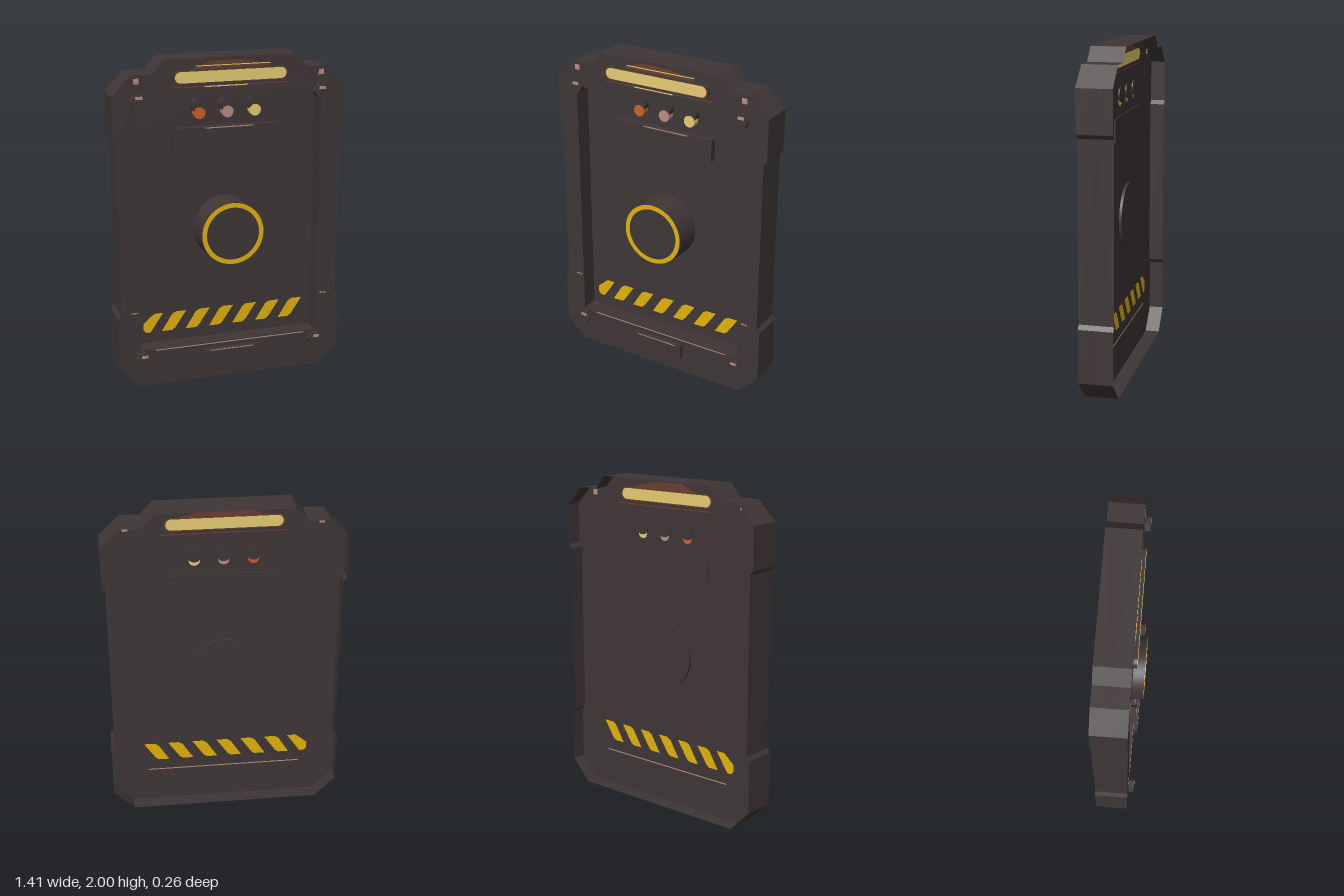
import * as THREE from 'three';

const mat = (name, color, side = THREE.FrontSide) => {
  const m = new THREE.MeshStandardMaterial({ color, side });
  m.name = name;
  return m;
};

export function createModel() {
  const M = {
    body: mat('dark metal', 0x3f3636, THREE.DoubleSide),
    yellow: mat('warning yellow', 0xe2b208),
    glow: mat('pale lamp yellow', 0xf0d478),
    orange: mat('orange', 0xcc6029),
    pink: mat('dusty pink', 0xb98d82),
    rust: mat('rust brown', 0x6a3f2e),
  };
  const group = new THREE.Group();
  // Depths: open rear rim, rear of panel, recess floor, front face
  const RIM = -0.132, BACK = -0.042, FLOOR = -0.036, FACE = 0.072, T = 0.002, CX = -0.005;

  const poly = (pts) => new THREE.Shape(pts.map(([x, y]) => new THREE.Vector2(x, y)));
  const rect = (x0, y0, x1, y1) => poly([[x0, y0], [x1, y0], [x1, y1], [x0, y1]]);
  const disc = (x, y, r) => new THREE.Shape().absarc(x, y, r, 0, Math.PI * 2);
  const capsule = (cx, cy, w, h) => {
    const s = new THREE.Shape(), d = w / 2 - h / 2;
    s.absarc(cx + d, cy, h / 2, -Math.PI / 2, Math.PI / 2);
    s.absarc(cx - d, cy, h / 2, Math.PI / 2, Math.PI * 1.5);
    return s;
  };
  const add = (name, geometry, material) => {
    const mesh = new THREE.Mesh(geometry, material);
    mesh.name = name;
    group.add(mesh);
    return mesh;
  };
  // Extrudes a shape between two depths
  const slab = (name, shape, z0, z1, material) => {
    const g = new THREE.ExtrudeGeometry(shape, { depth: z1 - z0, bevelEnabled: false, curveSegments: 24 });
    add(name, g.translate(0, 0, z0), material);
  };
  // Paints the same mark on a front surface and on the rear of the panel
  const paint = (name, shape, z, material) => {
    slab(name + 'Front', shape, z, z + T, material);
    slab(name + 'Back', shape, BACK - T, BACK, material);
  };

  // Body outline with corner guards and raised top tab
  const half = [[0.58, 0], [0.707, 0.13], [0.707, 0.45], [0.687, 0.475], [0.687, 1.53],
    [0.707, 1.555], [0.707, 1.805], [0.59, 1.92], [0.47, 1.92], [0.395, 2]];
  const outline = [...half, ...half.map(([x, y]) => [-x, y]).reverse()];
  slab('panel', poly(outline), BACK, FLOOR, M.body);
  const frame = poly(outline);
  frame.holes.push(rect(CX - 0.566, 0.235, CX + 0.566, 1.765));
  slab('frame', frame, FLOOR, FACE, M.body);

  // Thin rim around the hollow back
  const rim = [];
  outline.forEach((a, i) => {
    const b = outline[(i + 1) % outline.length];
    rim.push(...a, RIM, ...b, RIM, ...b, BACK, ...a, RIM, ...b, BACK, ...a, BACK);
  });
  const rimGeometry = new THREE.BufferGeometry();
  rimGeometry.setAttribute('position', new THREE.Float32BufferAttribute(rim, 3));
  rimGeometry.computeVertexNormals();
  add('rearRim', rimGeometry, M.body);

  // Hexagonal corner bolts with worn edges
  for (const bx of [-0.555, 0.555]) for (const y of [0.183, 1.773]) {
    const x = bx + CX;
    const g = new THREE.CylinderGeometry(0.045, 0.045, 0.04, 6).toNonIndexed();
    g.rotateX(Math.PI / 2).rotateZ(Math.PI / 6).computeVertexNormals();
    add('bolt', g, M.body).position.set(x, y, 0.086);
    slab('boltScuff', rect(x - 0.015, y + 0.012, x + 0.025, y + 0.03), 0.106, 0.106 + T, M.pink);
  }

  // Top lamp with rusty surround
  slab('lampHousing', capsule(CX, 1.895, 0.69, 0.078), FACE, 0.092, M.body);
  slab('lampEdge', capsule(CX, 1.895, 0.685, 0.074), 0.092, 0.094, M.rust);
  slab('lampLens', capsule(CX, 1.895, 0.67, 0.065), 0.094, 0.096, M.glow);
  slab('lampEdgeBack', capsule(CX, 1.895, 0.69, 0.078), BACK - T, BACK, M.rust);
  slab('lampLensBack', capsule(CX, 1.895, 0.67, 0.066), BACK - 2 * T, BACK - T, M.glow);
  paint('lampHalo', poly([[-0.24, 1.936], [0.25, 1.936], [0.18, 1.957], [0.07, 1.978], [-0.12, 1.982], [-0.18, 1.957]]), FACE, M.rust);
  paint('lampUnderline', rect(-0.36, 1.833, 0.36, 1.839), FACE, M.rust);
  slab('lampOverGlint', rect(-0.21, 1.952, 0.24, 1.957), FACE + T, FACE + 2 * T, M.glow);
  slab('lampUnderGlint', rect(-0.16, 1.831, 0.1, 1.837), FACE + T, FACE + 2 * T, M.glow);

  // Three indicator buttons with coloured lights
  [[-0.172, M.orange], [0, M.pink], [0.17, M.glow]].forEach(([x, m]) => {
    slab('indicatorButton', disc(x - 0.002, 1.705, 0.044), FLOOR, 0.005, M.body);
    slab('indicatorLight', disc(x, 1.665, 0.035), FLOOR, 0.008, m);
    slab('indicatorBack', disc(x, 1.705, 0.044), -0.05, BACK, M.body);
    slab('indicatorLightBack', disc(x, 1.67, 0.033), BACK - T, BACK, m);
  });

  // Name plate, lower tag and round hub
  const plate = rect(-0.333, 1.445, 0.318, 1.58);
  slab('namePlate', plate, FLOOR, 0.006, M.body);
  slab('namePlateBack', plate, -0.05, BACK, M.body);
  slab('lowerTag', rect(-0.183, 0.11, 0.177, 0.198), FACE, 0.1, M.body);

  const hub = add('hub', new THREE.CylinderGeometry(0.194, 0.2, 0.188, 48).rotateX(Math.PI / 2), M.body);
  hub.position.set(CX, 0.947, 0.036);
  const ring = disc(CX, 0.947, 0.191);
  ring.holes.push(disc(CX, 0.947, 0.163));
  slab('hubRing', ring, 0.13, 0.132, M.yellow);

  // Slanted warning stripes
  for (let i = 0; i < 7; i++) {
    const x = -0.565 + i * 0.152;
    const pts = i === 0
      ? [[-0.515, 0.3], [-0.485, 0.3], [-0.405, 0.42], [-0.46, 0.42], [-0.53, 0.36], [-0.53, 0.32]]
      : [[x, 0.3], [x + 0.065, 0.3], [x + 0.085, 0.315], [x + 0.155, 0.42], [x + 0.09, 0.42], [x + 0.065, 0.405]];
    paint('warningStripe', poly(pts), FLOOR, M.yellow);
  }

  // Worn edge scratches
  paint('lowerScratch', rect(-0.48, 0.223, 0.48, 0.229), FACE, M.pink);
  slab('plateScratch', rect(-0.14, 1.571, 0.16, 1.577), 0.006, 0.008, M.pink);
  slab('tagScratch', rect(-0.14, 0.189, 0.14, 0.194), 0.1, 0.102, M.pink);
  for (const s of [-1, 1]) {
    paint('cornerScuff', rect(s * 0.56 - 0.018, 1.868, s * 0.56 + 0.014, 1.9), FACE, M.pink);
    slab('sideScuff', rect(s * 0.605 - 0.02, 0.478, s * 0.605 + 0.02, 0.485), FACE, FACE + T, M.pink);
  }
  return group;
}
